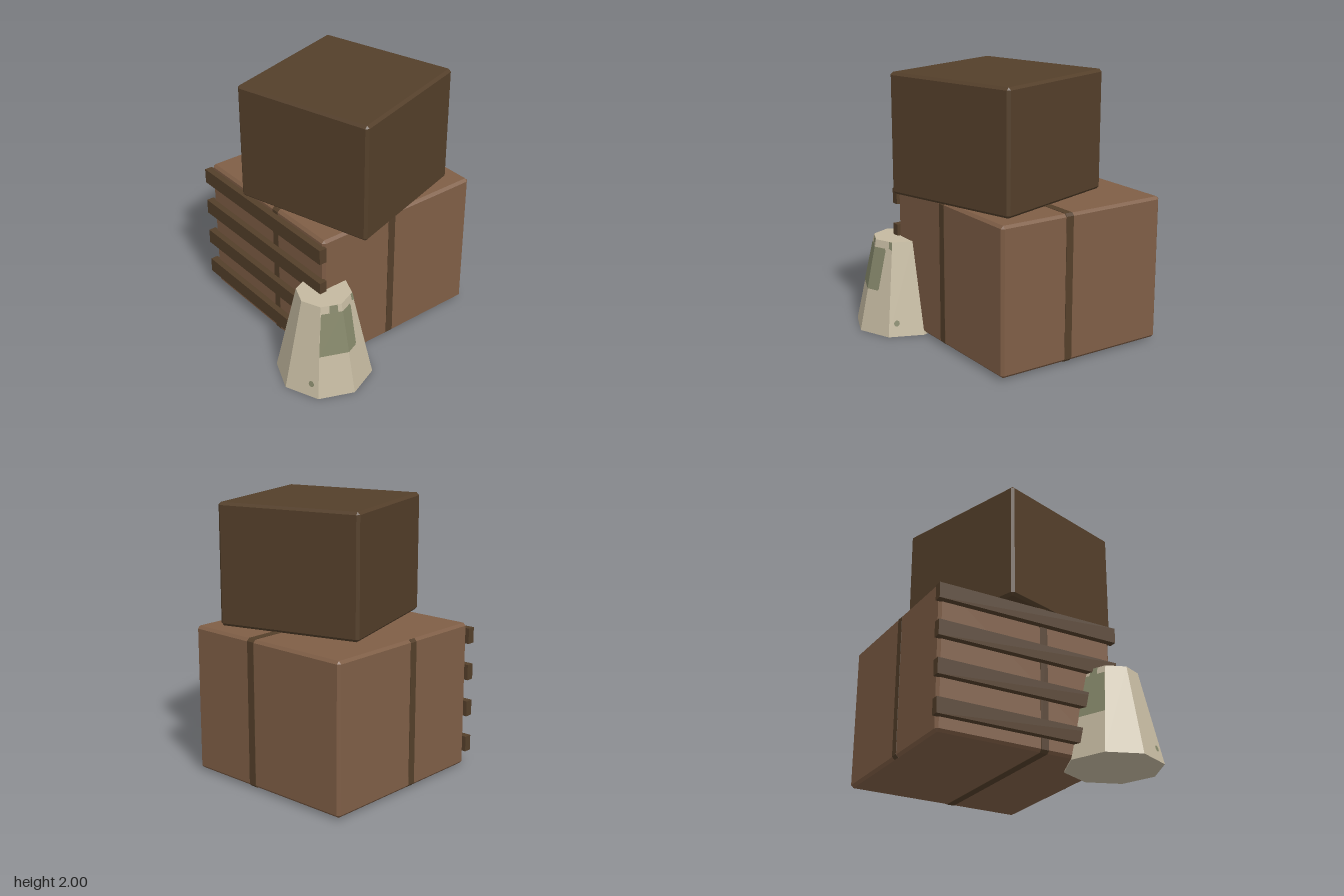
import * as THREE from 'three';
import { ConvexGeometry } from 'three/addons/geometries/ConvexGeometry.js';

const mat = (name, color) => {
  const m = new THREE.MeshStandardMaterial({ color });
  m.name = name;
  return m;
};

// Box with small flat chamfers on every edge
function chamferBox(w, h, d, c) {
  const points = [];
  for (const sx of [-1, 1]) for (const sy of [-1, 1]) for (const sz of [-1, 1]) {
    const x = w / 2, y = h / 2, z = d / 2;
    points.push(
      new THREE.Vector3(sx * x, sy * (y - c), sz * (z - c)),
      new THREE.Vector3(sx * (x - c), sy * y, sz * (z - c)),
      new THREE.Vector3(sx * (x - c), sy * (y - c), sz * z));
  }
  return new ConvexGeometry(points);
}

// Chamfered rectangular slab, used for the tape bands around the carton
function band(hw, hh, c, width) {
  const shape = new THREE.Shape([
    [hw, c - hh], [hw, hh - c], [hw - c, hh], [c - hw, hh],
    [-hw, hh - c], [-hw, c - hh], [c - hw, -hh], [hw - c, -hh],
  ].map(p => new THREE.Vector2(...p)));
  return new THREE.ExtrudeGeometry(shape, { depth: width, bevelEnabled: false })
    .translate(0, 0, -width / 2);
}

export function createModel() {
  const model = new THREE.Group();
  model.name = 'stackedBoxes';
  const brown = mat('cardboardBrown', 0x7f5e46);
  const dark = mat('darkBrown', 0x543f2a);
  const stone = mat('paleStone', 0xc4b9a0);
  const moss = mat('mossGreen', 0x85876a);

  const add = (name, geometry, material, x = 0, y = 0, z = 0) => {
    const mesh = new THREE.Mesh(geometry, material);
    mesh.name = name;
    mesh.position.set(x, y, z);
    model.add(mesh);
    return mesh;
  };

  // Lower carton with one full band and a strip on each side
  const W = 1.39, H = 1.09, C = 0.02, cx = -0.17, cy = 0.56, cz = -0.18;
  add('lowerBox', chamferBox(W, H, W, C), brown, cx, cy, cz);
  add('lengthBand', band(W / 2 + 0.003, H / 2 + 0.003, C, 0.06).rotateY(Math.PI / 2),
    dark, -0.04, cy, cz);
  add('sideBand', band(W / 2 + 0.003, H / 2 - 0.001, C, 0.06), dark, cx, cy, -0.11);

  // Slats across the front
  for (const y of [0.173, 0.45, 0.73, 1.007])
    add('frontSlat', new THREE.BoxGeometry(1.435, 0.116, 0.06), dark, -0.172, y, 0.535);

  // Turned upper box
  add('upperBox', chamferBox(1.094, 0.895, 1.094, C), dark, 0.027, 1.5525, -0.08)
    .rotation.y = 0.29;

  // Eight-sided tapered post
  const px = 0.525, pz = 0.515, height = 0.7, rBottom = 0.355, rTop = 0.2;
  const post = new THREE.CylinderGeometry(rTop, rBottom, height, 8).toNonIndexed();
  post.computeVertexNormals();
  add('taperedPost', post, stone, px, height / 2, pz);

  // Thin patch lying on one post face; outline points are (fraction across, height)
  const patch = (name, face, outline) => {
    const corners = outline.map(([u, y]) => {
      const r = rBottom + (rTop - rBottom) * y / height + 0.003;
      const a = face * Math.PI / 4, b = a + Math.PI / 4;
      return [r * THREE.MathUtils.lerp(Math.sin(a), Math.sin(b), u), y,
        r * THREE.MathUtils.lerp(Math.cos(a), Math.cos(b), u)];
    });
    const pos = [];
    for (let i = 1; i < corners.length - 1; i++)
      pos.push(...corners[0], ...corners[i], ...corners[i + 1]);
    const g = new THREE.BufferGeometry();
    g.setAttribute('position', new THREE.Float32BufferAttribute(pos, 3));
    g.computeVertexNormals();
    add(name, g, moss, px, 0, pz);
  };

  // Moss on the two opposite sides of the post: [face, outline]
  const mossShapes = [
    [1, [[0, 0.325], [1, 0.325], [1, 0.645], [0.03, 0.645]]],
    [1, [[0.42, 0.645], [0.8, 0.645], [0.8, 0.7], [0.42, 0.7]]],
    [2, [[0, 0.325], [0.45, 0.325], [0.49, 0.34], [0.65, 0.63], [0.6, 0.645], [0, 0.645]]],
    [2, [[0.82, 0.65], [1, 0.64], [1, 0.7], [0.82, 0.7]]],
  ];
  for (const [face, outline] of mossShapes) {
    patch('mossPatch', face, outline);
    patch('mossPatch', 7 - face, outline.map(([u, y]) => [1 - u, y]).reverse());
  }

  // Small round moss spots near the foot
  for (const [face, u] of [[0, 0.77], [3, 0.23]]) {
    const dot = [];
    for (let i = 0; i < 10; i++) {
      const t = i * Math.PI / 5;
      dot.push([u + 0.085 * Math.cos(t), 0.1 + 0.023 * Math.sin(t)]);
    }
    patch('mossSpot', face, dot);
  }
  return model;
}
